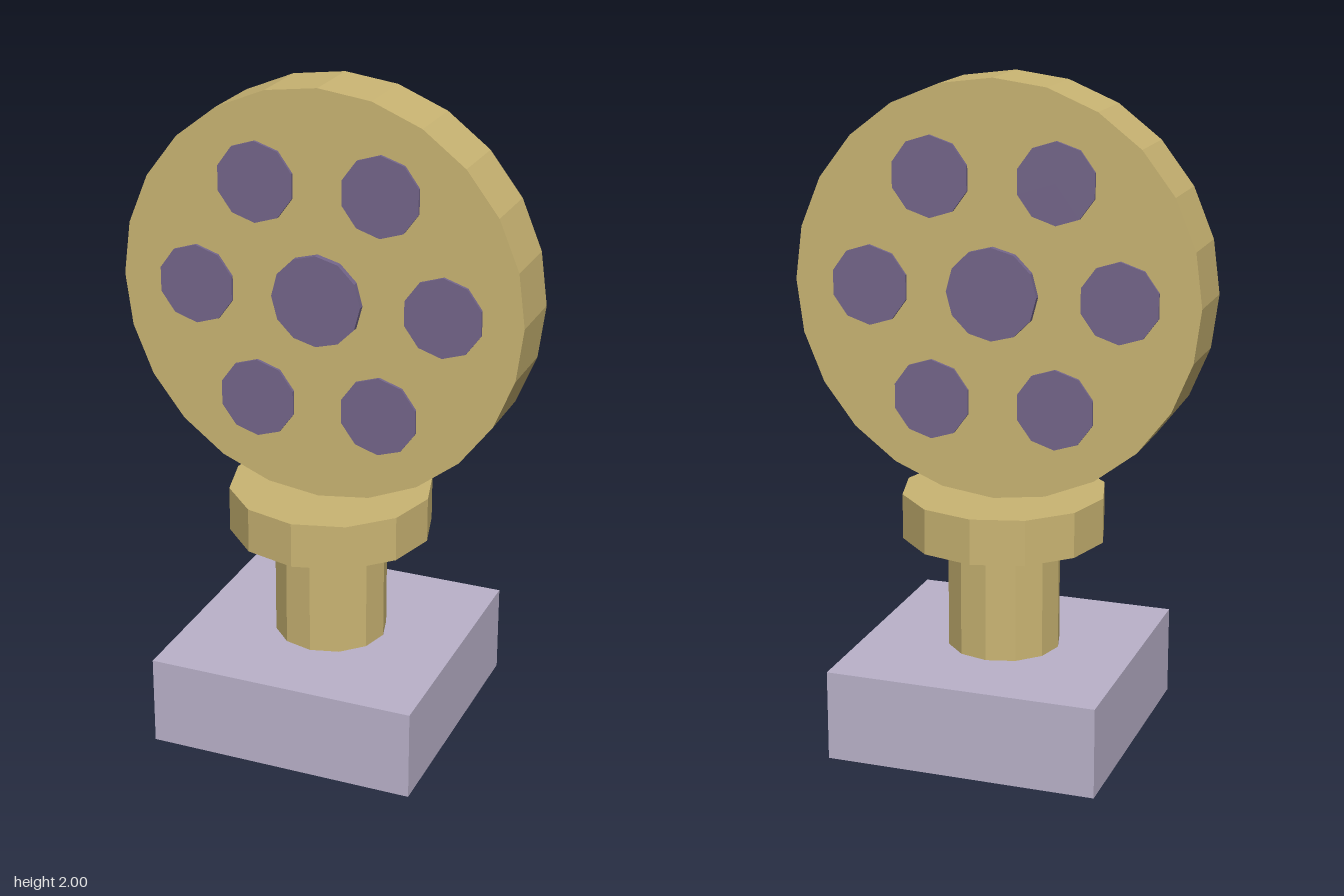
import * as THREE from 'three';

const material = (name, color) => {
  const m = new THREE.MeshStandardMaterial({ color, flatShading: true });
  m.name = name;
  return m;
};

export function createModel() {
  const gold = material('gold', 0xcab573);
  const purple = material('deep purple', 0x74668a);
  const lilac = material('pale lilac', 0xbab2ca);

  const group = new THREE.Group();
  group.name = 'wheelOnPedestal';

  const add = (parent, name, geometry, mat, x = 0, y = 0) => {
    const mesh = new THREE.Mesh(geometry, mat);
    mesh.name = name;
    mesh.position.set(x, y, 0);
    parent.add(mesh);
    return mesh;
  };
  // Cylinder lying along z
  const disc = (radius, depth, sides) =>
    new THREE.CylinderGeometry(radius, radius, depth, sides).rotateX(Math.PI / 2);

  // Pedestal: square base, stem and collar
  add(group, 'base', new THREE.BoxGeometry(0.824, 0.275, 0.824), lilac, 0, 0.1375);
  add(group, 'stem', new THREE.CylinderGeometry(0.172, 0.172, 0.35, 12), gold, 0, 0.45);
  add(group, 'collar', new THREE.CylinderGeometry(0.309, 0.309, 0.138, 12), gold, 0, 0.694);

  // Upright wheel with a hub and a ring of studs showing on both faces
  const wheel = new THREE.Group();
  wheel.name = 'wheel';
  wheel.position.y = 1.382;
  group.add(wheel);

  add(wheel, 'rim', disc(0.618, 0.206, 24), gold);
  add(wheel, 'hub', disc(0.1375, 0.244, 12), purple);
  for (let i = 0; i < 6; i++) {
    const a = (i * Math.PI) / 3;
    add(wheel, 'stud', disc(0.12, 0.224, 10), purple, 0.381 * Math.cos(a), 0.381 * Math.sin(a));
  }

  return group;
}
